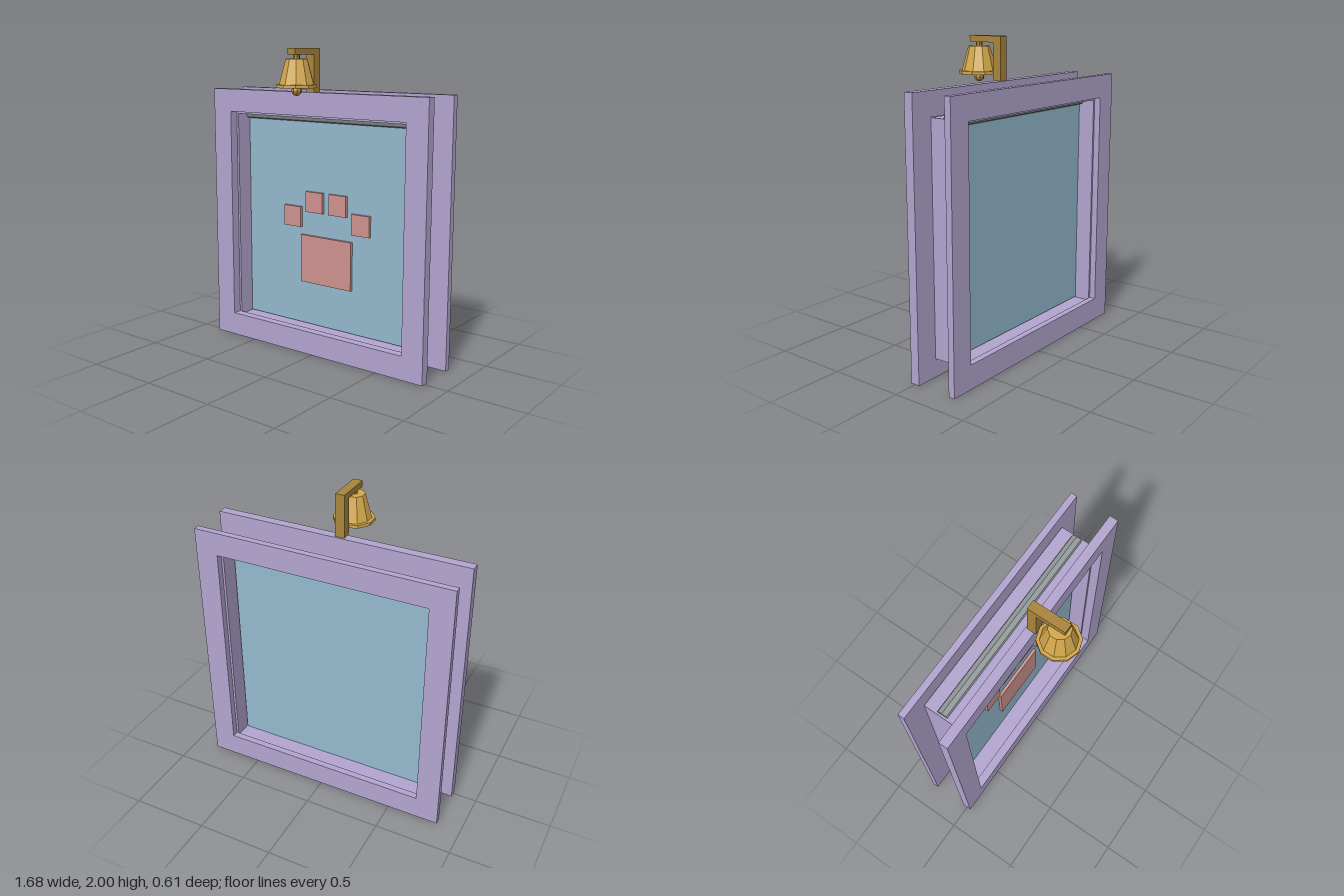
import * as THREE from 'three';

const material = (name, color, flatShading = true) => {
  const m = new THREE.MeshStandardMaterial({ color, flatShading });
  m.name = name;
  return m;
};

export function createModel() {
  const model = new THREE.Group();
  model.name = 'petDoor';
  const lilac = material('lilac', 0xb3a5d0);
  const blue = material('blue', 0x94b9cd);
  const pink = material('pink', 0xd09390);
  const brass = material('brass', 0xd4a84b);
  const darkBrass = material('darkBrass', 0xa9853b);
  const grey = material('grey', 0x969c9f);

  const add = (name, geometry, mat, x = 0, y = 0, z = 0, parent = model) => {
    const mesh = new THREE.Mesh(geometry, mat);
    mesh.name = name;
    mesh.position.set(x, y, z);
    parent.add(mesh);
    return mesh;
  };
  // Box given by its limits on each axis
  const box = (name, mat, [x0, x1], [y0, y1], [z0, z1], parent) =>
    add(name, new THREE.BoxGeometry(x1 - x0, y1 - y0, z1 - z0), mat,
      (x0 + x1) / 2, (y0 + y1) / 2, (z0 + z1) / 2, parent);

  const rectangle = (PathType, x, y0, y1) => {
    const p = new PathType();
    p.moveTo(-x, y0);
    p.lineTo(x, y0);
    p.lineTo(x, y1);
    p.lineTo(-x, y1);
    p.closePath();
    return p;
  };

  // Front and back frames
  const frame = (name, z0, z1) => {
    const shape = rectangle(THREE.Shape, 0.84, 0, 1.727);
    shape.holes.push(rectangle(THREE.Path, 0.69, 0.155, 1.577));
    add(name, new THREE.ExtrudeGeometry(shape, { depth: z1 - z0, bevelEnabled: false }), lilac, 0, 0, z0);
  };
  frame('frontFrame', -0.031, 0.029);
  frame('backFrame', -0.305, -0.263);

  // Thin-walled tunnel joining the frames
  const tunnel = rectangle(THREE.Shape, 0.69, 0.12, 1.575);
  tunnel.holes.push(rectangle(THREE.Path, 0.675, 0.138, 1.56));
  add('tunnel', new THREE.ExtrudeGeometry(tunnel, { depth: 0.232, bevelEnabled: false }), lilac, 0, 0, -0.263);

  // Hinge rod and hanging flap
  const rod = add('hingeRod', new THREE.CylinderGeometry(0.041, 0.041, 1.354, 8), grey, 0, 1.561, -0.147);
  rod.rotation.z = Math.PI / 2;
  box('flap', blue, [-0.667, 0.667], [0.145, 1.555], [-0.157, -0.137]);

  // Paw print on the flap: one pad and four toes
  const paw = new THREE.Group();
  paw.name = 'pawPrint';
  model.add(paw);
  const pawZ = [-0.137, -0.117];
  box('pawPad', pink, [-0.205, 0.205], [0.44, 0.765], pawZ, paw);
  for (const side of [-1, 1]) {
    for (const [x, y] of [[0.094, 0.994], [0.276, 0.885]]) {
      box('pawToe', pink, [side * x - 0.069, side * x + 0.069], [y - 0.069, y + 0.069], pawZ, paw);
    }
  }

  // Bell bracket
  box('bracketPost', darkBrass, [-0.03, 0.03], [1.727, 2], [-0.018, 0.042]);
  box('bracketArm', darkBrass, [-0.03, 0.03], [1.96, 2], [0.042, 0.227]);

  // Ten-sided bell with stem, rim and clapper
  const bell = new THREE.Group();
  bell.name = 'bell';
  bell.position.z = 0.176;
  model.add(bell);
  add('bellStem', new THREE.CylinderGeometry(0.02, 0.02, 0.04, 8), darkBrass, 0, 1.945, 0, bell);
  add('bellBody', new THREE.CylinderGeometry(0.068, 0.112, 0.16, 10), brass, 0, 1.855, 0, bell);
  add('bellRim', new THREE.CylinderGeometry(0.13, 0.13, 0.02, 10), brass, 0, 1.772, 0, bell);
  add('bellClapper', new THREE.SphereGeometry(0.032, 8, 6), darkBrass, 0, 1.744, 0, bell);

  return model;
}
